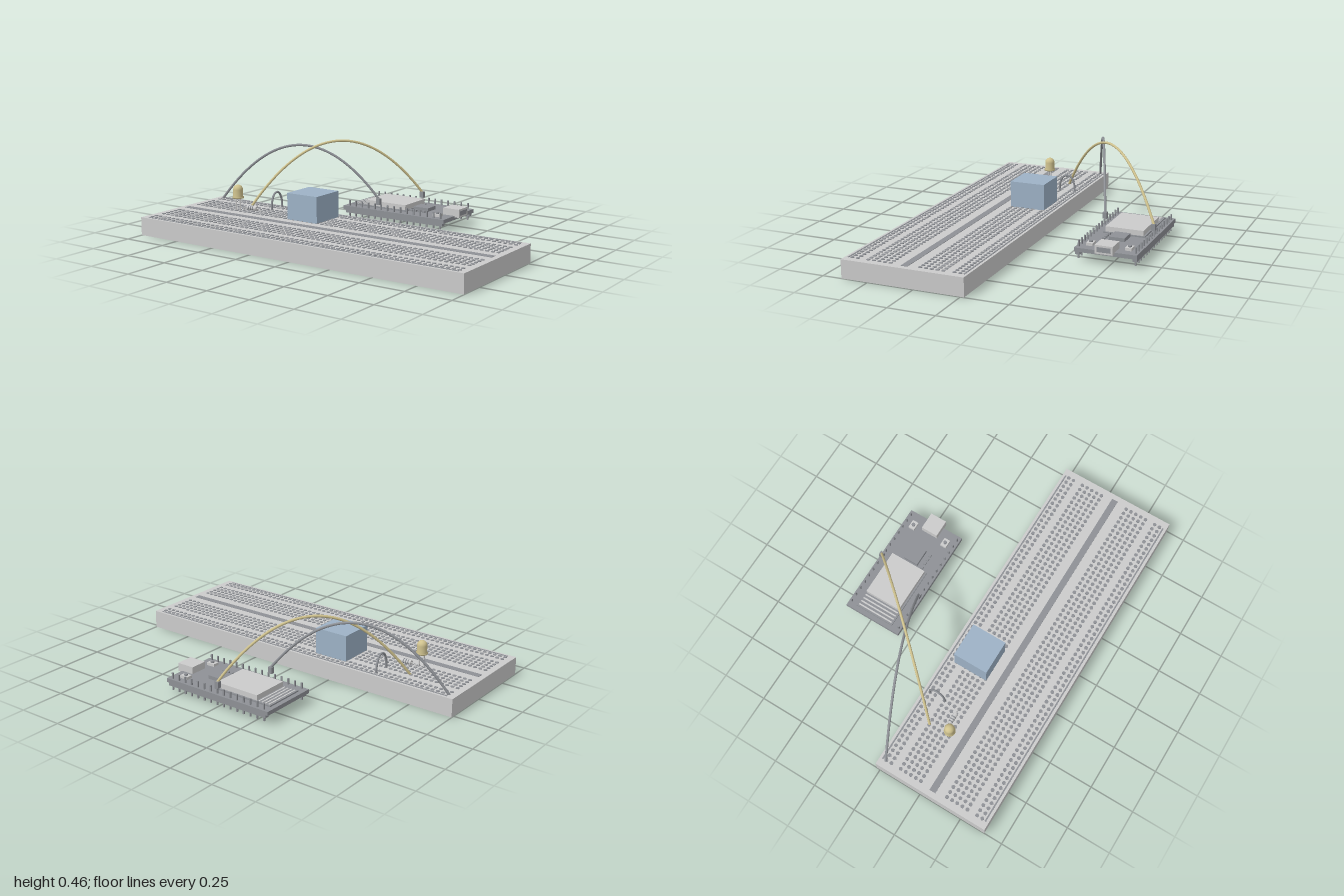
import * as THREE from 'three';
import { mergeGeometries } from 'three/addons/utils/BufferGeometryUtils.js';

const material = (color) => new THREE.MeshStandardMaterial({ color });
const GREY = material(0xcccccc);
const DARK = material(0x8e9196);
const SILVER = material(0xbcbdc0);
const BLUE = material(0x9db2c6);
const YELLOW = material(0xcfc28e);

// Box given by its limits on each axis
function boxGeo(x0, x1, y0, y1, z0, z1) {
  return new THREE.BoxGeometry(x1 - x0, y1 - y0, z1 - z0)
    .translate((x0 + x1) / 2, (y0 + y1) / 2, (z0 + z1) / 2);
}

function add(parent, name, geometry, mat) {
  const mesh = new THREE.Mesh(geometry, mat);
  mesh.name = name;
  parent.add(mesh);
  return mesh;
}

function group(parent, name) {
  const g = new THREE.Group();
  g.name = name;
  parent.add(g);
  return g;
}

const v = (x, y, z) => new THREE.Vector3(x, y, z);

function makeBreadboard(root) {
  const board = group(root, 'breadboard');
  const mid = 0.312, top = 0.1;
  add(board, 'boardBody', boxGeo(-1, 1, 0.001, top, -0.02, 0.645), GREY);
  add(board, 'centreChannel', boxGeo(-0.97, 0.97, top - 0.01, top + 0.002, mid - 0.018, mid + 0.018), DARK);

  // Contact holes: five inner rows and two power rows on each side
  const pitch = 0.0308;
  const rows = [0.08, 0.111, 0.142, 0.173, 0.204, 0.262, 0.293];
  const holes = [];
  for (const side of [-1, 1]) {
    for (const row of rows) {
      for (let i = -31; i <= 31; i++) {
        holes.push(new THREE.CylinderGeometry(0.0105, 0.0105, 0.006, 8)
          .translate(i * pitch, top, mid + side * row));
      }
    }
    const z = mid + side * 0.314;
    add(board, 'powerRailLine', boxGeo(-0.96, 0.96, top - 0.002, top + 0.002, z - 0.004, z + 0.004), DARK);
  }
  add(board, 'contactHoles', mergeGeometries(holes), DARK);
}

function makeController(root) {
  const pcb = group(root, 'controllerBoard');
  const top = 0.075;
  add(pcb, 'circuitBoard', boxGeo(-0.335, 0.33, 0.053, top, -0.645, -0.31), DARK);
  add(pcb, 'radioModuleBase', boxGeo(-0.31, 0.05, top, 0.082, -0.595, -0.365), DARK);
  add(pcb, 'radioShield', boxGeo(-0.22, 0.043, 0.08, 0.11, -0.585, -0.375), SILVER);
  add(pcb, 'mainChip', boxGeo(0.06, 0.155, top, 0.095, -0.52, -0.435), DARK);
  add(pcb, 'usbSocket', boxGeo(0.257, 0.357, 0.067, 0.113, -0.527, -0.43), SILVER);
  add(pcb, 'usbOpening', boxGeo(0.35, 0.359, 0.077, 0.103, -0.515, -0.442), DARK);

  // Antenna traces beside the shield
  for (let i = 0; i < 4; i++) {
    const x = -0.3 + i * 0.021;
    add(pcb, 'antennaTrace', boxGeo(x, x + 0.008, 0.08, 0.084, -0.585, -0.375), SILVER);
  }
  // Small parts beside the chip
  for (let i = 0; i < 4; i++) {
    const x = 0.058 + i * 0.027;
    add(pcb, 'smallComponent', boxGeo(x, x + 0.016, top, 0.085, -0.412, -0.398), DARK);
  }
  for (const z of [-0.582, -0.373]) {
    add(pcb, 'buttonBase', boxGeo(0.23, 0.278, top, 0.09, z - 0.018, z + 0.018), SILVER);
    add(pcb, 'buttonCap', new THREE.CylinderGeometry(0.01, 0.01, 0.01, 12).translate(0.254, 0.093, z), DARK);
  }
  // Pin headers along both long edges
  for (const z of [-0.63, -0.325]) {
    add(pcb, 'pinHeader', boxGeo(-0.32, 0.32, 0.036, 0.053, z - 0.012, z + 0.012), DARK);
    const pins = [];
    for (let i = -7; i <= 7; i++) {
      const x = i * 0.043;
      pins.push(boxGeo(x - 0.004, x + 0.004, 0.012, 0.108, z - 0.004, z + 0.004));
    }
    add(pcb, 'headerPins', mergeGeometries(pins), DARK);
  }
}

function makeLed(root) {
  const led = group(root, 'led');
  led.position.set(-0.665, 0, 0.23);
  const profile = [new THREE.Vector2(0, 0.174), new THREE.Vector2(0.031, 0.174), new THREE.Vector2(0.031, 0.182),
    new THREE.Vector2(0.027, 0.182)];
  for (let i = 0; i <= 8; i++) {
    const a = (i / 8) * Math.PI / 2;
    profile.push(new THREE.Vector2(0.027 * Math.cos(a), 0.222 + 0.027 * Math.sin(a)));
  }
  add(led, 'ledLens', new THREE.LatheGeometry(profile, 24), YELLOW);
  for (const x of [-0.014, 0.014]) {
    add(led, 'ledLeg', boxGeo(x - 0.003, x + 0.003, 0.09, 0.18, -0.003, 0.003), SILVER);
  }
}

function makeResistor(root) {
  const resistor = group(root, 'resistor');
  const y = 0.122, z = 0.2;
  add(resistor, 'resistorBody',
    new THREE.CylinderGeometry(0.013, 0.013, 0.066, 16).rotateZ(Math.PI / 2).translate(-0.59, y, z), GREY);
  for (const x of [-0.608, -0.594, -0.58]) {
    add(resistor, 'colourBand',
      new THREE.CylinderGeometry(0.0136, 0.0136, 0.006, 16).rotateZ(Math.PI / 2).translate(x, y, z), DARK);
  }
  const lead = new THREE.CatmullRomCurve3([v(-0.655, 0.09, z), v(-0.645, 0.115, z), v(-0.62, y, z),
    v(-0.56, y, z), v(-0.535, 0.115, z), v(-0.525, 0.09, z)]);
  add(resistor, 'resistorLead', new THREE.TubeGeometry(lead, 32, 0.0035, 6), SILVER);
}

// Arched wire with its peak halfway along
function makeWire(root, name, start, end, peak, radius, mat) {
  const control = start.clone().add(end).multiplyScalar(0.5);
  control.y = 2 * peak - control.y;
  const curve = new THREE.QuadraticBezierCurve3(start, control, end);
  add(root, name, new THREE.TubeGeometry(curve, 48, radius, 10), mat);
}

function makePlug(root, x, z) {
  add(root, 'wirePlug', boxGeo(x - 0.012, x + 0.012, 0.106, 0.141, z - 0.011, z + 0.011), DARK);
}

export function createModel() {
  const root = new THREE.Group();
  root.name = 'breadboardCircuit';
  makeBreadboard(root);
  makeController(root);
  makeLed(root);
  makeResistor(root);

  add(root, 'sensorBlock', boxGeo(-0.315, -0.12, 0, 0.245, 0.042, 0.24), BLUE);

  makeWire(root, 'greyWire', v(-0.96, 0.098, 0.018), v(-0.1, 0.138, -0.322), 0.43, 0.007, DARK);
  makeWire(root, 'yellowWire', v(-0.675, 0.098, 0.11), v(0, 0.138, -0.626), 0.457, 0.007, YELLOW);
  makePlug(root, -0.1, -0.322);
  makePlug(root, 0, -0.626);

  // Short loop across the power row
  const loop = new THREE.CatmullRomCurve3([v(-0.525, 0.09, 0.016), v(-0.525, 0.15, 0.022), v(-0.525, 0.19, 0.045),
    v(-0.525, 0.195, 0.065), v(-0.525, 0.185, 0.088), v(-0.525, 0.15, 0.106), v(-0.525, 0.09, 0.111)]);
  add(root, 'jumperLoop', new THREE.TubeGeometry(loop, 32, 0.006, 8), DARK);
  return root;
}
